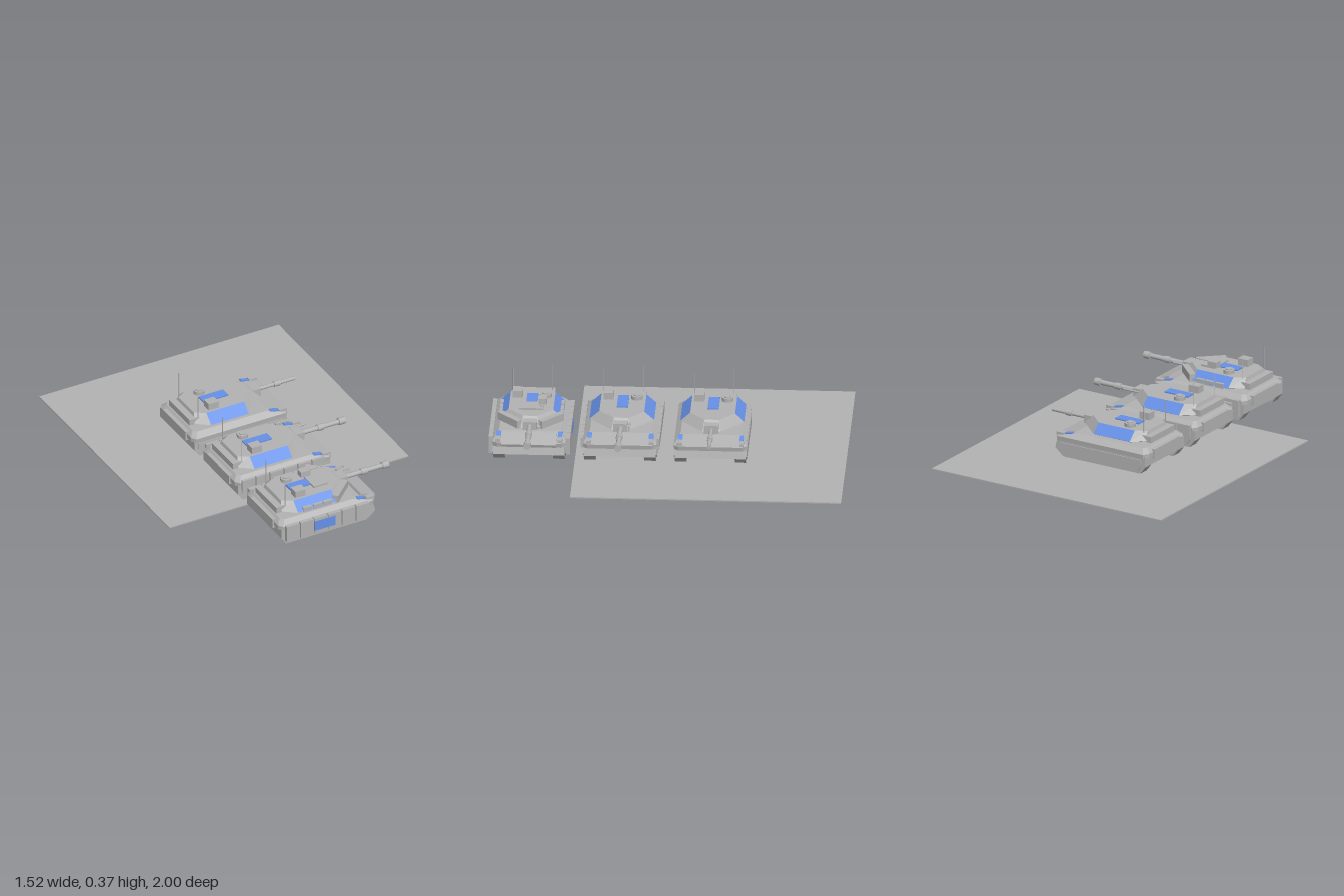
import * as THREE from 'three';

const grey = new THREE.MeshStandardMaterial({ color: 0xb2b2b2 });
grey.name = 'armour grey';
const blue = new THREE.MeshStandardMaterial({ color: 0x6690e6 });
blue.name = 'marking blue';

function add(parent, name, geometry, material, x = 0, y = 0, z = 0) {
  const mesh = new THREE.Mesh(geometry, material);
  mesh.name = name;
  mesh.position.set(x, y, z);
  parent.add(mesh);
  return mesh;
}

// box given by its limits on each axis
function box(parent, name, [x0, x1], [y0, y1], [z0, z1], material = grey) {
  return add(parent, name, new THREE.BoxGeometry(x1 - x0, y1 - y0, z1 - z0), material,
    (x0 + x1) / 2, (y0 + y1) / 2, (z0 + z1) / 2);
}

// cylinder lying along x
function rod(parent, name, x0, x1, radius, y, z, sides = 12) {
  const g = new THREE.CylinderGeometry(radius, radius, x1 - x0, sides).rotateZ(-Math.PI / 2);
  return add(parent, name, g, grey, (x0 + x1) / 2, y, z);
}

// side profile in x, y extruded from z0 to z1
function profile(parent, name, points, z0, z1) {
  const shape = new THREE.Shape(points.map(([x, y]) => new THREE.Vector2(x, y)));
  const g = new THREE.ExtrudeGeometry(shape, { depth: z1 - z0, bevelEnabled: false });
  return add(parent, name, g, grey, 0, 0, z0);
}

// stacked plan outlines: each ring is [y, half outline from front to back]
function loft(rings, isBlue = () => false) {
  const loops = rings.map(([y, half]) => [
    ...half.map(([x, z]) => [x, y, z]),
    ...half.slice().reverse().map(([x, z]) => [x, y, -z])]);
  const n = loops[0].length;
  const plain = [], painted = [];
  for (let r = 0; r < loops.length - 1; r++) {
    for (let i = 0; i < n; i++) {
      const j = (i + 1) % n;
      const [a, b, c, d] = [loops[r][i], loops[r][j], loops[r + 1][j], loops[r + 1][i]];
      (isBlue(r, i) ? painted : plain).push(...b, ...a, ...d, ...b, ...d, ...c);
    }
  }
  const low = loops[0], top = loops[loops.length - 1];
  for (let i = 1; i < n - 1; i++) {
    plain.push(...low[0], ...low[i], ...low[i + 1], ...top[0], ...top[i + 1], ...top[i]);
  }
  const g = new THREE.BufferGeometry();
  g.setAttribute('position', new THREE.Float32BufferAttribute([...plain, ...painted], 3));
  g.addGroup(0, plain.length / 3, 0);
  g.addGroup(plain.length / 3, painted.length / 3, 1);
  g.computeVertexNormals();
  return g;
}

function makeHull(tank) {
  const hull = new THREE.Group();
  hull.name = 'hull';
  tank.add(hull);
  profile(hull, 'lowerHull', [[-0.296, 0.05], [0.3, 0.053], [0.285, 0.11], [-0.296, 0.11]], -0.14, 0.14);
  add(hull, 'upperHull', loft([
    [0.1, [[0.3, 0.18], [0.285, 0.203], [-0.285, 0.203], [-0.305, 0.175]]],
    [0.125, [[0.305, 0.18], [0.285, 0.205], [-0.285, 0.205], [-0.305, 0.175]]],
    [0.152, [[0.19, 0.15], [0.17, 0.172], [-0.265, 0.172], [-0.28, 0.15]]],
  ]), [grey, blue]);
  box(hull, 'rearStowage', [-0.315, -0.285], [0.085, 0.14], [-0.13, 0.13]);
  add(hull, 'turretRing', new THREE.CylinderGeometry(0.125, 0.125, 0.02, 24), grey, -0.05, 0.157, 0);
  for (const s of [-1, 1]) {
    const z0 = s > 0 ? 0.135 : -0.2;
    profile(hull, 'track', [[-0.296, 0.05], [-0.265, 0.008], [0.245, 0.008], [0.3, 0.053],
      [0.285, 0.11], [-0.296, 0.11]], z0, z0 + 0.065);
    const c0 = s > 0 ? 0.2 : -0.205;
    profile(hull, 'wheelCover', [[-0.27, 0.055], [-0.25, 0.027], [0.235, 0.027], [0.272, 0.055],
      [0.262, 0.09], [-0.27, 0.09]], c0, c0 + 0.005);
    box(hull, 'headlight', [0.25, 0.298], [0.12, 0.143], [s * 0.175 - 0.014, s * 0.175 + 0.014]);
    const patch = add(hull, 'cornerMarking', new THREE.BoxGeometry(0.05, 0.006, 0.026), blue,
      0.222, 0.145, s * 0.172);
    patch.rotation.z = -0.21;
  }
}

function makeTurret(tank, level) {
  const turret = new THREE.Group();
  turret.name = 'turret';
  tank.add(turret);
  add(turret, 'turretShell', loft([
    [0.162, [[0.17, 0.05], [0.045, 0.155], [-0.17, 0.155], [-0.23, 0.1]]],
    [0.174, [[0.2, 0.05], [0.06, 0.18], [-0.18, 0.18], [-0.255, 0.125]]],
    [0.224, [[0.15, 0.04], [0.06, 0.125], [-0.18, 0.125], [-0.24, 0.09]]],
  ], (r, i) => r === 1 && (i === 1 || i === 5)), [grey, blue]);
  box(turret, 'bustleRack', [-0.285, -0.22], [0.168, 0.204], [-0.12, 0.12]);
  box(turret, 'roofMarking', [-0.145, 0.012], [0.223, 0.231], [-0.031, 0.031], blue);

  // roof fittings
  box(turret, 'roofSight', [-0.158, -0.093], [0.222, 0.265], [0.055, 0.11]);
  add(turret, 'hatchRing', new THREE.CylinderGeometry(0.032, 0.032, 0.022, 14), grey, -0.118, 0.234, -0.075);
  add(turret, 'hatchLid', new THREE.CylinderGeometry(0.02, 0.02, 0.006, 14), grey, -0.118, 0.248, -0.075);
  for (const [z, top] of [[0.115, 0.34], [-0.105, 0.373]]) {
    add(turret, 'antenna', new THREE.CylinderGeometry(0.002, 0.002, top - 0.17, 6), grey,
      -0.228, (top + 0.17) / 2, z);
  }

  // main gun
  box(turret, 'mantlet', [0.13, 0.213], [0.165, 0.213], [-0.04, 0.04]);
  const radius = level === 0 ? 0.011 : 0.014;
  rod(turret, 'gunBarrel', 0.2, level === 0 ? 0.446 : 0.47, radius, 0.187, 0);
  rod(turret, 'barrelSleeve', 0.316, 0.353, radius + 0.005, 0.187, 0);
  if (level > 0) {
    rod(turret, 'muzzleBrake', 0.45, 0.488, 0.021, 0.187, 0);
    rod(turret, 'secondaryGun', 0.12, 0.27, 0.005, 0.2, -0.05, 8);
  }

  // heavy version: cheek armour, side boxes and weapon station
  if (level === 2) {
    for (const s of [-1, 1]) {
      const cheek = add(turret, 'cheekArmour', new THREE.BoxGeometry(0.17, 0.044, 0.035), grey,
        0.122, 0.187, s * 0.115);
      cheek.rotation.y = s * 0.75;
      for (const x of [-0.118, -0.05, 0.01]) {
        box(turret, 'sideBox', [x - 0.027, x + 0.027], [0.165, 0.192], [s * 0.17 - 0.009, s * 0.17 + 0.009]);
      }
    }
    box(turret, 'stationBase', [-0.02, 0.07], [0.222, 0.235], [-0.07, 0.07]);
    box(turret, 'stationBody', [-0.04, 0.018], [0.235, 0.269], [-0.085, -0.04]);
    rod(turret, 'machineGun', 0, 0.105, 0.004, 0.261, -0.06, 8);
  }
}

// hanging panels along both sides
function makeSkirts(tank, level) {
  const outer = level === 2 ? 0.228 : 0.22;
  const heights = level === 2 ? [0.037, 0.135] : [0.08, 0.143];
  for (const s of [-1, 1]) {
    const span = [s * 0.204, s * outer].sort((a, b) => a - b);
    for (let i = 0; i < 6; i++) {
      const x = -0.277 + i * 0.0885;
      box(tank, 'skirtPanel', [x, x + 0.083], heights, span);
    }
    if (level === 2) {
      box(tank, 'skirtMarking', [-0.1, 0.03], [0.057, 0.118],
        [s * outer - 0.002, s * outer + 0.002], blue);
    }
  }
}

export function createModel() {
  const model = new THREE.Group();
  model.name = 'threeTanks';
  box(model, 'groundPlate', [-0.76, 0.76], [0, 0.007], [-1, 0.515]);
  // light, medium and heavy versions side by side
  [-0.243, 0.263, 0.77].forEach((z, level) => {
    const tank = new THREE.Group();
    tank.name = ['lightTank', 'mediumTank', 'heavyTank'][level];
    tank.position.z = z;
    makeHull(tank);
    makeTurret(tank, level);
    if (level > 0) makeSkirts(tank, level);
    if (level === 2) {
      const plate = box(tank, 'glacisArmour', [0.225, 0.325], [0.124, 0.142], [-0.153, 0.153]);
      plate.rotation.z = -0.35;
    }
    model.add(tank);
  });
  return model;
}
